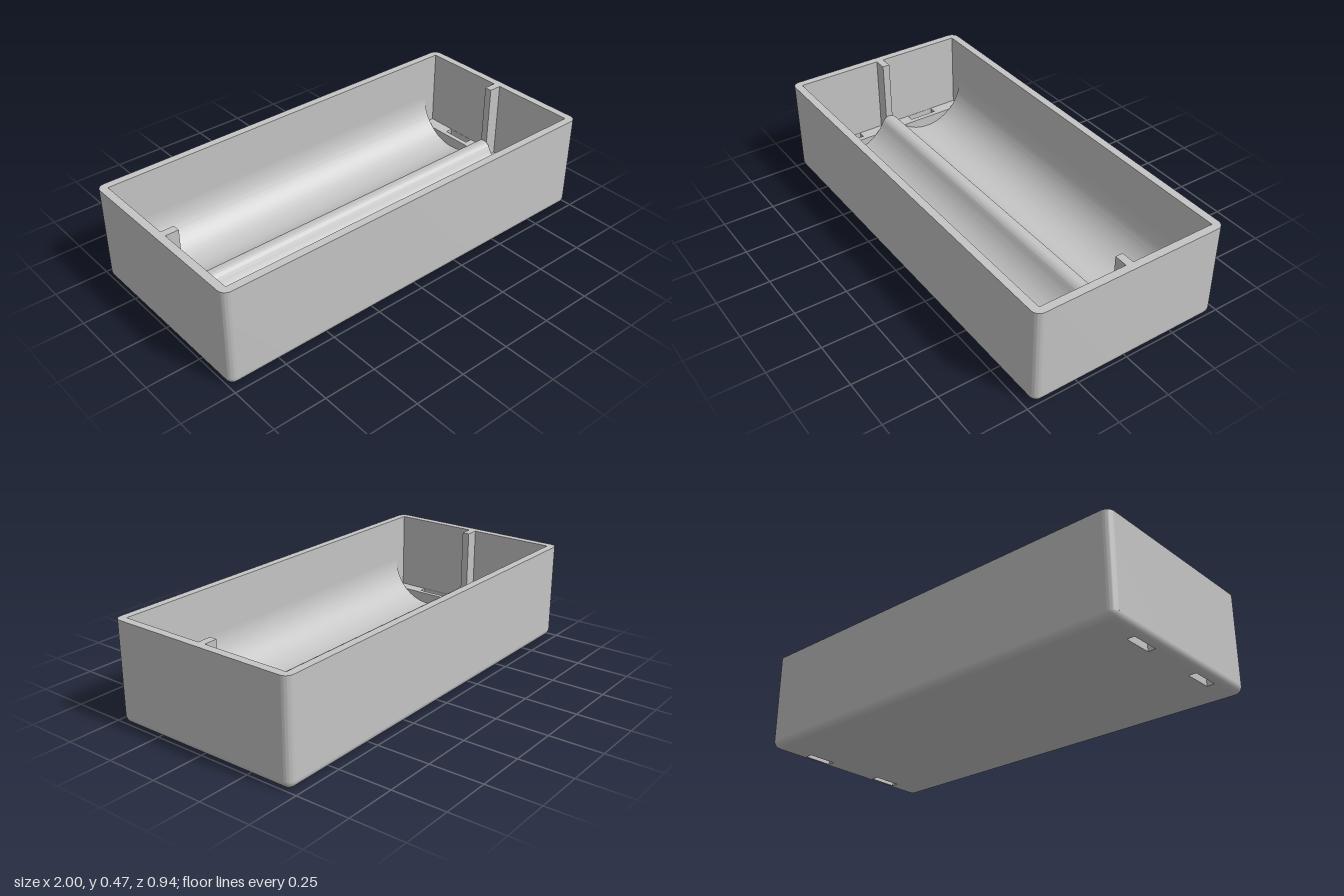
import * as THREE from 'three';
import { toCreasedNormals } from 'three/addons/utils/BufferGeometryUtils.js';

const H = 0.47, T = 0.037;            // height, wall thickness and edge radius
const IX = 1 - T, IZ = 0.47 - T;      // half size of the cavity
const END = 0.9, POST = 0.018;        // cradle half length, post half width
const FLOOR = 0.09;                   // pocket floor height
const STEPS = 8;

const path = (Type, pts) => new Type(pts.map(([x, y]) => new THREE.Vector2(x, y)));
const rect = (Type, x0, x1, z0, z1) => path(Type, [[x0, z0], [x1, z0], [x1, z1], [x0, z1]]);
const slot = (sx, sz) => {
  const xs = [0.925 * sx, 0.9615 * sx], zs = [0.145 * sz, 0.287 * sz];
  return rect(THREE.Path, Math.min(...xs), Math.max(...xs), Math.min(...zs), Math.max(...zs));
};

// Extrudes a plan drawn in x and z upward from y0 to y1
function extrudeUp(shape, y0, y1) {
  const g = new THREE.ExtrudeGeometry(shape, { depth: y1 - y0, bevelEnabled: false, curveSegments: STEPS });
  return toCreasedNormals(g.rotateX(-Math.PI / 2).translate(0, y0, 0), 0.6);
}

// Upright walls with rounded corners; the cavity outline leaves a post at each end
function wallGeometry() {
  const s = new THREE.Shape();
  [[1, 1], [-1, 1], [-1, -1], [1, -1]].forEach(([x, z], i) =>
    s.absarc(x * IX, z * IZ, T, i * Math.PI / 2, (i + 1) * Math.PI / 2, false));
  s.closePath();
  s.holes.push(path(THREE.Path, [
    [-IX, -IZ], [IX, -IZ], [IX, -POST], [END, -POST], [END, POST], [IX, POST],
    [IX, IZ], [-IX, IZ], [-IX, POST], [-END, POST], [-END, -POST], [-IX, -POST],
  ]));
  return extrudeUp(s, T, H);
}

// Rounded lower edge: rings that widen from the base to the walls
function lowerEdgeGeometry() {
  const pos = [], nor = [], idx = [], n = 4 * (STEPS + 1);
  for (let j = 0; j <= STEPS; j++) {
    const p = j / STEPS * Math.PI / 2;
    for (let c = 0; c < 4; c++) for (let k = 0; k <= STEPS; k++) {
      const a = (c + k / STEPS) * Math.PI / 2;
      const nx = Math.cos(a) * Math.sin(p), nz = Math.sin(a) * Math.sin(p), ny = -Math.cos(p);
      const sx = c === 0 || c === 3 ? 1 : -1, sz = c < 2 ? 1 : -1;
      pos.push(sx * IX + T * nx, T + T * ny, sz * IZ + T * nz);
      nor.push(nx, ny, nz);
    }
  }
  for (let j = 0; j < STEPS; j++) for (let i = 0; i < n; i++) {
    const a = j * n + i, b = j * n + (i + 1) % n;
    idx.push(a, a + n, b, b, a + n, b + n);
  }
  const g = new THREE.BufferGeometry();
  g.setAttribute('position', new THREE.Float32BufferAttribute(pos, 3));
  g.setAttribute('normal', new THREE.Float32BufferAttribute(nor, 3));
  g.setIndex(idx);
  return g;
}

// Two half-round troughs joined by a rounded ridge
function cradleGeometry() {
  const R = (IZ - POST) / 2, c = IZ - R, cy = T + R;
  const b = Math.acos((c - 0.04) / R);
  const r = c / Math.cos(b) - R, ridgeY = cy - (R + r) * Math.sin(b);
  const s = new THREE.Shape();
  s.moveTo(-IZ, 0.01);
  s.lineTo(IZ, 0.01);
  s.lineTo(IZ, cy);
  s.absarc(c, cy, R, 0, -(Math.PI - b), true);
  s.absarc(0, ridgeY, r, b, Math.PI - b, false);
  s.absarc(-c, cy, R, -b, -Math.PI, true);
  s.closePath();
  const g = new THREE.ExtrudeGeometry(s, { depth: 2 * END, bevelEnabled: false, curveSegments: 28 });
  return toCreasedNormals(g.rotateY(Math.PI / 2).translate(-END, 0, 0), 0.5);
}

export function createModel() {
  const model = new THREE.Group();
  model.name = 'twinCellTray';
  const grey = new THREE.MeshStandardMaterial({ color: 0xc4c4c4 });
  grey.name = 'grey';
  const add = (name, geometry) => {
    const m = new THREE.Mesh(geometry, grey);
    m.name = name;
    model.add(m);
  };

  add('walls', wallGeometry());
  add('lowerEdge', lowerEdgeGeometry());
  add('cradle', cradleGeometry());

  // Flat underside pierced by the four slots
  const base = rect(THREE.Shape, -IX, IX, -IZ, IZ);
  for (const sx of [-1, 1]) for (const sz of [-1, 1]) {
    base.holes.push(slot(sx, sz));

    // Raised end pocket floor around each slot
    const x = [END * sx, IX * sx].sort((a, b) => a - b);
    const z = [0, IZ * sz].sort((a, b) => a - b);
    const floor = rect(THREE.Shape, x[0], x[1], z[0], z[1]);
    floor.holes.push(slot(sx, sz));
    add('pocketFloor', extrudeUp(floor, 0.001, FLOOR));
  }
  add('underside', new THREE.ShapeGeometry(base).rotateX(Math.PI / 2));
  return model;
}
